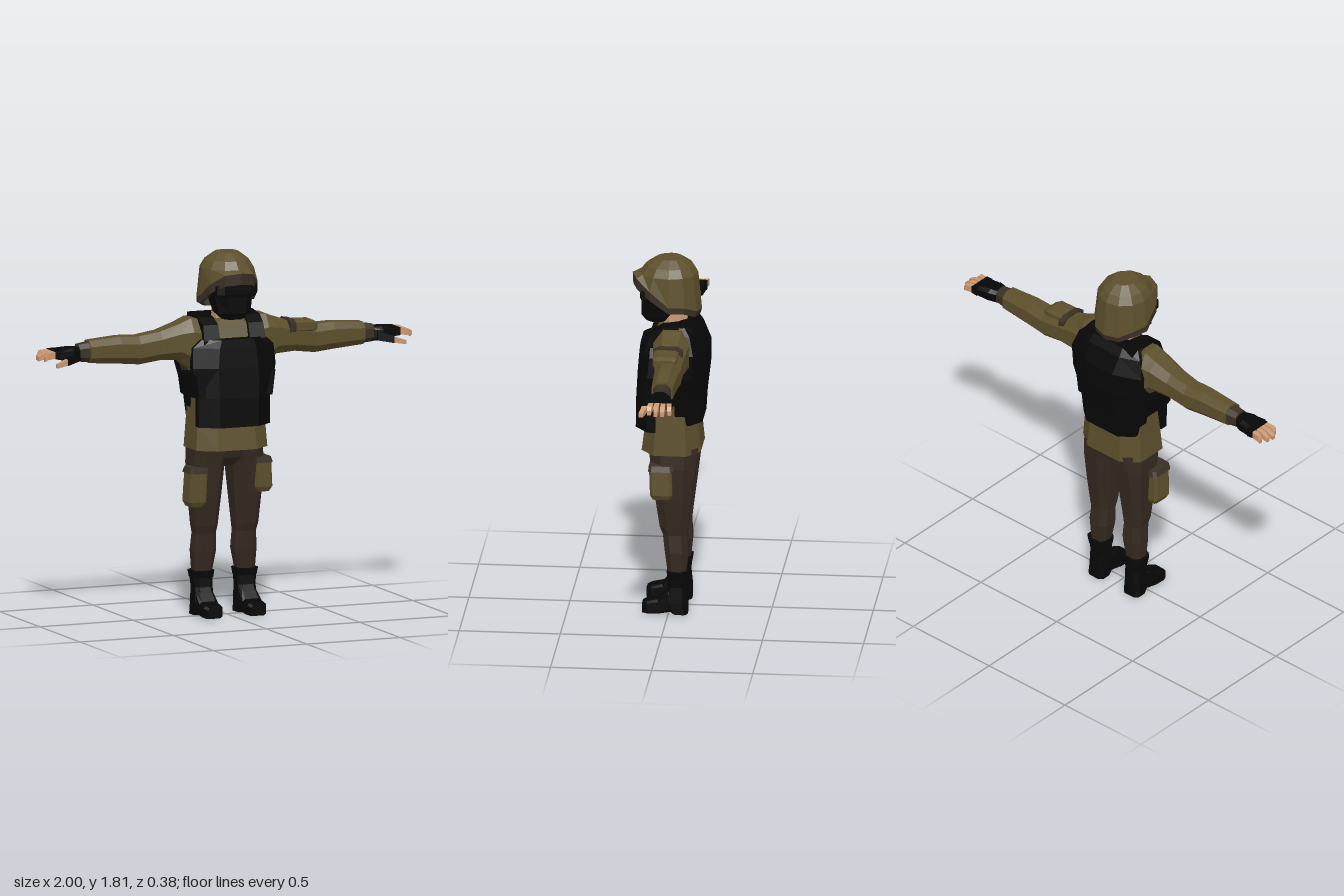
import * as THREE from 'three';

const mat = (name, color) => Object.assign(new THREE.MeshStandardMaterial({ color }), { name });
const olive = mat('olive cloth', 0x5c4f2b);
const brown = mat('brown cloth', 0x342920);
const strap = mat('dark trim', 0x3a3025);
const black = mat('black gear', 0x070708);
const skin = mat('skin', 0xcb9872);

// Faceted closed skin over a list of rings (arrays of [x, y, z]), always wound outward.
function skinRings(rings) {
  const tris = [], n = rings[0].length;
  for (let r = 0; r + 1 < rings.length; r++) {
    for (let i = 0; i < n; i++) {
      const j = (i + 1) % n, [p, q] = [rings[r], rings[r + 1]];
      tris.push([p[i], p[j], q[j]], [p[i], q[j], q[i]]);
    }
  }
  // End caps, unless the rings close on themselves
  const cap = (ring, flip) => {
    const c = [0, 1, 2].map(k => ring.reduce((s, p) => s + p[k], 0) / n);
    ring.forEach((p, i) => {
      const q = ring[(i + 1) % n];
      tris.push(flip ? [c, q, p] : [c, p, q]);
    });
  };
  const last = rings[rings.length - 1];
  if (last !== rings[0]) {
    cap(rings[0], true);
    cap(last, false);
  }
  const V = p => new THREE.Vector3(...p);
  let volume = 0;
  for (const [a, b, c] of tris) volume += V(a).dot(V(b).cross(V(c)));
  if (volume < 0) tris.forEach(t => t.reverse());
  const g = new THREE.BufferGeometry();
  g.setAttribute('position', new THREE.Float32BufferAttribute(tris.flat(2), 3));
  g.computeVertexNormals();
  return g;
}

function part(parent, name, material, rings) {
  const m = new THREE.Mesh(skinRings(rings), material);
  m.name = name;
  parent.add(m);
}

// Rows are [position on axis, a0, a1, b0, b1]; k = 1 gives a box, less gives cut corners.
// a, b are x, z for axis y; y, z for axis x; x, y for axis z. s mirrors x.
function loft(parent, name, material, axis, rows, k = 0.5, s = 1) {
  const shape = k === 1
    ? [[1, 1], [-1, 1], [-1, -1], [1, -1]]
    : [[1, k], [k, 1], [-k, 1], [-1, k], [-1, -k], [-k, -1], [k, -1], [1, -k]];
  part(parent, name, material, rows.map(([t, a0, a1, b0, b1]) => shape.map(([u, v]) => {
    const a = (a0 + a1 + u * (a1 - a0)) / 2, b = (b0 + b1 + v * (b1 - b0)) / 2;
    const [x, y, z] = axis === 'y' ? [a, t, b] : axis === 'x' ? [t, a, b] : [a, b, t];
    return [s * x, y, z];
  })));
}

// Armour plate: rows are [y, half width, inner z, side z, face z, face share of the width]
function plate(parent, name, rows) {
  part(parent, name, black, rows.map(([y, w, zi, zs, zf, f]) =>
    [[-w, y, zi], [-w, y, zs], [-w * f, y, zf], [w * f, y, zf], [w, y, zs], [w, y, zi]]));
}

function buildHead(g) {
  loft(g, 'neck', skin, 'y', [[1.42, -0.06, 0.06, -0.09, 0.03], [1.6, -0.055, 0.055, -0.075, 0.04]]);
  loft(g, 'faceMask', black, 'y', [
    [1.485, -0.05, 0.05, 0.02, 0.12], [1.52, -0.085, 0.085, -0.01, 0.142],
    [1.6, -0.1, 0.1, -0.06, 0.142], [1.72, -0.1, 0.1, -0.08, 0.13]]);
  loft(g, 'goggles', black, 'y', [[1.6, -0.095, 0.095, 0.08, 0.142], [1.615, -0.108, 0.108, 0.07, 0.146],
    [1.66, -0.108, 0.108, 0.07, 0.146]], 0.65);
  // Helmet edge heights run from front to back
  const edge = [1.725, 1.715, 1.665, 1.592, 1.585, 1.555, 1.55];
  const rim = [1.668, 1.66, 1.62, 1.56, 1.555, 1.525, 1.52];
  const ring = (rx, front, back, y) => Array.from({ length: 12 }, (_, i) => {
    const a = i * Math.PI / 6, c = Math.cos(a);
    return [rx * Math.sin(a), Array.isArray(y) ? y[Math.min(i, 12 - i)] : y, c * (c > 0 ? front : back)];
  });
  const lip = ring(0.147, 0.19, 0.153, edge);
  part(g, 'helmetDome', olive, [ring(0.06, 0.07, 0.06, 1.81), ring(0.108, 0.125, 0.11, 1.775),
    ring(0.132, 0.155, 0.135, 1.735), lip]);
  part(g, 'helmetRim', strap, [lip, ring(0.148, 0.187, 0.145, rim), ring(0.122, 0.15, 0.12, rim), lip]);
}

function buildTorso(g) {
  loft(g, 'shirt', olive, 'y', [
    [0.835, -0.19, 0.19, -0.157, 0.136], [0.96, -0.182, 0.182, -0.145, 0.12],
    [1.1, -0.172, 0.172, -0.135, 0.1], [1.25, -0.185, 0.185, -0.14, 0.1],
    [1.38, -0.19, 0.19, -0.14, 0.09], [1.46, -0.14, 0.14, -0.11, 0.06],
    [1.48, -0.075, 0.075, -0.1, 0.04]], 0.55);
  plate(g, 'vestFront', [
    [0.955, 0.19, 0.06, 0.1, 0.165, 0.55], [1.1, 0.192, 0.06, 0.1, 0.163, 0.55],
    [1.25, 0.222, 0.06, 0.098, 0.155, 0.48], [1.35, 0.215, 0.06, 0.088, 0.147, 0.45],
    [1.39, 0.17, 0.05, 0.088, 0.143, 0.5]]);
  plate(g, 'vestBack', [
    [0.99, 0.17, -0.035, -0.11, -0.165, 0.6], [1.1, 0.185, -0.035, -0.11, -0.172, 0.55],
    [1.25, 0.225, -0.06, -0.125, -0.19, 0.4], [1.37, 0.23, -0.09, -0.13, -0.19, 0.38],
    [1.46, 0.2, -0.07, -0.11, -0.15, 0.5], [1.5, 0.16, -0.05, -0.08, -0.12, 0.6]]);
  for (const s of [1, -1]) {
    // Strap rows run from the chest over the shoulder to the back
    loft(g, 'shoulderStrap', black, 'z', [
      [0.11, 0.08, 0.165, 1.34, 1.385], [0.085, 0.08, 0.16, 1.39, 1.46],
      [0.03, 0.085, 0.165, 1.42, 1.492], [-0.06, 0.08, 0.165, 1.42, 1.505],
      [-0.12, 0.08, 0.16, 1.42, 1.5]], 1, s);
    loft(g, 'sidePouch', black, 'y', [
      [1.1, 0.14, 0.205, -0.12, 0.122], [1.22, 0.14, 0.225, -0.12, 0.118]], 0.7, s);
  }
}

function buildArm(g, s) {
  loft(g, 'sleeve', olive, 'x', [
    [0.12, 1.2, 1.48, -0.12, 0.07], [0.2, 1.235, 1.49, -0.115, 0.07],
    [0.26, 1.285, 1.465, -0.105, 0.06], [0.36, 1.29, 1.432, -0.095, 0.045],
    [0.47, 1.275, 1.415, -0.092, 0.036], [0.57, 1.285, 1.42, -0.085, 0.032],
    [0.735, 1.298, 1.408, -0.077, 0.026]], 0.5, s);
  loft(g, 'cuff', strap, 'x', [[0.73, 1.303, 1.4, -0.072, 0.02], [0.79, 1.308, 1.392, -0.062, 0.014]], 0.5, s);
  loft(g, 'glove', black, 'x', [
    [0.78, 1.31, 1.378, -0.056, 0.012], [0.83, 1.312, 1.382, -0.078, 0.03],
    [0.9, 1.325, 1.375, -0.092, 0.024]], 0.6, s);
  loft(g, 'gloveThumb', black, 'x', [
    [0.8, 1.315, 1.36, -0.01, 0.03], [0.875, 1.302, 1.338, 0.03, 0.064]], 1, s);
  loft(g, 'thumbTip', skin, 'x', [
    [0.87, 1.304, 1.335, 0.031, 0.06], [0.935, 1.294, 1.314, 0.05, 0.072]], 1, s);
  [0.975, 0.995, 1, 0.98].forEach((tip, i) => {
    const z = -0.078 + i * 0.029, spread = (i - 1.5) * 0.004;
    loft(g, 'gloveFinger', black, 'x', [
      [0.89, 1.33, 1.372, z - 0.014, z + 0.014], [0.925, 1.333, 1.371, z - 0.014, z + 0.014]], 1, s);
    loft(g, 'fingerTip', skin, 'x', [
      [0.92, 1.335, 1.369, z - 0.0125, z + 0.0125],
      [0.965, 1.332, 1.364, z + spread - 0.012, z + spread + 0.012],
      [tip, 1.322, 1.345, z + spread - 0.009, z + spread + 0.009]], 1, s);
  });
}

function buildLeg(g, s) {
  loft(g, 'trouserLeg', brown, 'y', [
    [0.86, 0, 0.18, -0.145, 0.1], [0.76, 0.022, 0.186, -0.135, 0.085],
    [0.6, 0.036, 0.18, -0.115, 0.065], [0.45, 0.05, 0.168, -0.096, 0.043],
    [0.41, 0.055, 0.16, -0.092, 0.028], [0.32, 0.05, 0.167, -0.098, 0.018],
    [0.2, 0.072, 0.16, -0.085, 0.002]], 0.5, s);
  loft(g, 'bootShaft', black, 'y', [
    [0, 0.068, 0.165, -0.095, -0.02], [0.06, 0.066, 0.165, -0.095, 0.03],
    [0.14, 0.068, 0.162, -0.087, 0.005], [0.19, 0.066, 0.167, -0.09, 0.002]], 0.6, s);
  loft(g, 'bootCollar', black, 'y', [
    [0.185, 0.064, 0.169, -0.092, 0.004], [0.222, 0.058, 0.176, -0.098, 0.008]], 0.6, s);
  loft(g, 'bootFoot', black, 'z', [
    [-0.05, 0.07, 0.16, 0.012, 0.1], [0, 0.068, 0.162, 0.008, 0.125],
    [0.05, 0.065, 0.167, 0, 0.075], [0.105, 0.066, 0.168, 0, 0.063],
    [0.13, 0.078, 0.156, 0.002, 0.052]], 0.7, s);
  // Thigh pouch hangs lower on the right leg
  const d = s > 0 ? 0 : 0.035, x = s > 0 ? 0 : 0.015;
  loft(g, 'thighPouch', olive, 'y', [
    [0.61 - d * 1.6, 0.14 + x, 0.203 + x, -0.015, 0.072], [0.635 - d * 1.6, 0.122 + x, 0.216 + x, -0.025, 0.085],
    [0.76 - d, 0.118 + x, 0.208 + x, -0.02, 0.09]], 0.75, s);
  loft(g, 'pouchFlap', strap, 'y', [
    [0.757 - d, 0.113 + x, 0.215 + x, -0.032, 0.095], [0.785 - d, 0.112 + x, 0.205 + x, -0.025, 0.092]], 0.75, s);
}

export function createModel() {
  const model = new THREE.Group();
  model.name = 'armouredFigure';
  const group = name => {
    const g = new THREE.Group();
    g.name = name;
    model.add(g);
    return g;
  };
  buildHead(group('head'));
  buildTorso(group('torso'));
  for (const s of [1, -1]) {
    const side = s > 0 ? 'left' : 'right';
    buildArm(group(side + 'Arm'), s);
    buildLeg(group(side + 'Leg'), s);
  }
  const hips = group('hips');
  loft(hips, 'pelvis', brown, 'y', [[0.745, -0.05, 0.05, -0.07, 0.03], [0.79, -0.1, 0.1, -0.125, 0.075],
    [0.87, -0.12, 0.12, -0.142, 0.1]]);
  // Pocket strapped on the left upper arm
  const pocket = group('armPocket');
  loft(pocket, 'armBand', strap, 'x', [[0.32, 1.378, 1.454, -0.09, 0.056], [0.352, 1.378, 1.45, -0.09, 0.054]], 0.6);
  loft(pocket, 'pocket', olive, 'x', [[0.34, 1.387, 1.445, -0.07, 0.05], [0.45, 1.385, 1.442, -0.07, 0.048],
    [0.472, 1.39, 1.43, -0.06, 0.038]], 0.7);
  return model;
}
